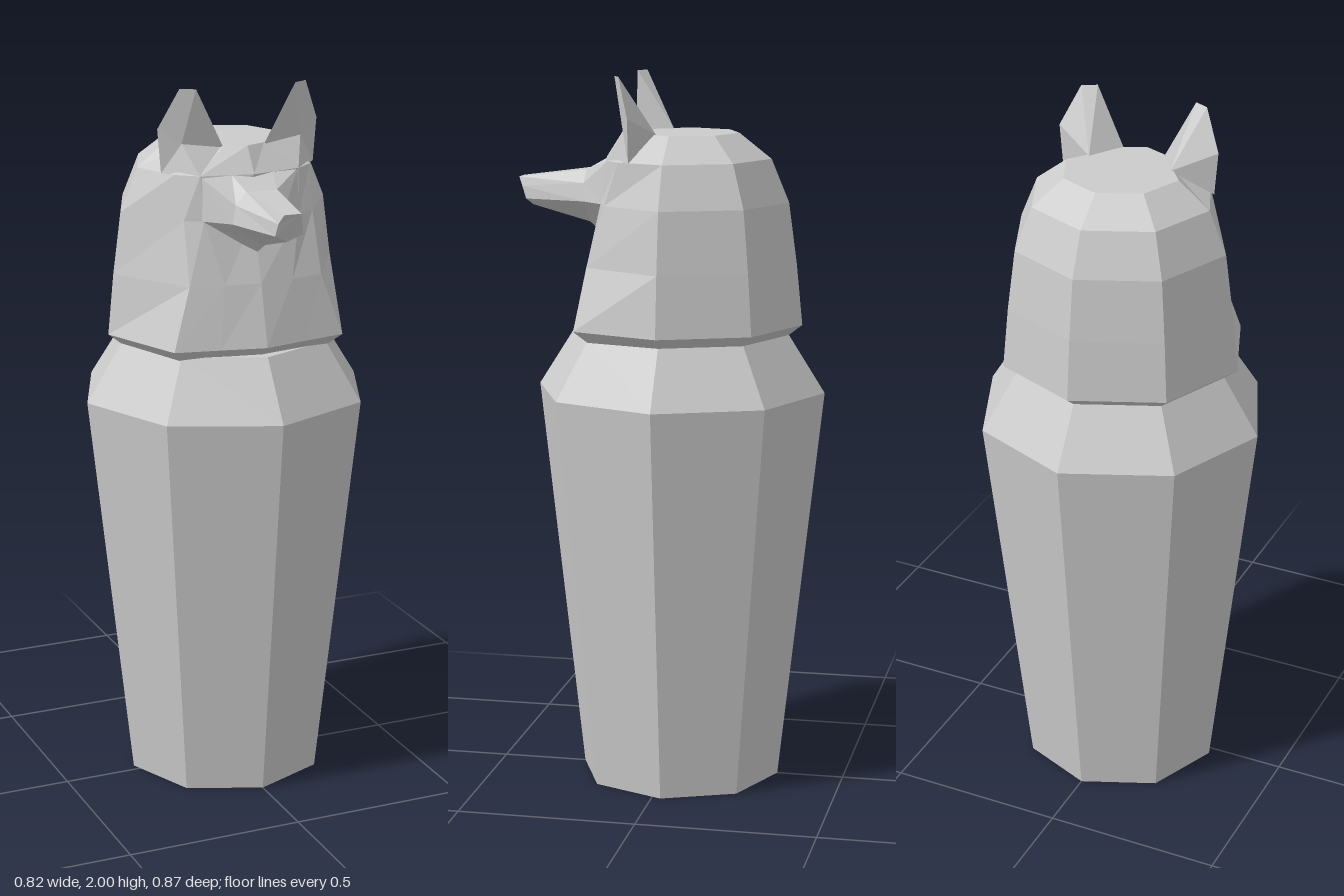
import * as THREE from 'three';

const CZ = -0.025; // axis of the jar in z
const S = Math.SQRT1_2;
const grey = new THREE.MeshStandardMaterial({ color: 0xcccccc, flatShading: true });
const greyDouble = grey.clone();
greyDouble.side = THREE.DoubleSide;

function mesh(name, geometry, material = grey) {
  const m = new THREE.Mesh(geometry, material);
  m.name = name;
  return m;
}

function fromTriangles(triangles) {
  const g = new THREE.BufferGeometry();
  g.setAttribute('position', new THREE.Float32BufferAttribute(triangles.flat(2), 3));
  g.computeVertexNormals();
  return g;
}

// Joins closed rings of points and caps both ends
function loft(rings) {
  const tris = [];
  const n = rings[0].length;
  for (let j = 0; j < rings.length - 1; j++) {
    for (let i = 0; i < n; i++) {
      const k = (i + 1) % n;
      const [a, b, c, d] = [rings[j][i], rings[j][k], rings[j + 1][k], rings[j + 1][i]];
      tris.push([a, b, c], [a, c, d]);
    }
  }
  const first = rings[0], last = rings[rings.length - 1];
  for (let i = 1; i < n - 1; i++) {
    tris.push([first[0], first[i + 1], first[i]], [last[0], last[i], last[i + 1]]);
  }
  return fromTriangles(tris);
}

// Eight-sided back and sides, with a shaped face of centre, cheek and front corner
function hoodRing([y, r, frontZ, cheekX, cheekZ, cornerX, cornerZ]) {
  const half = [[cheekX, y, cheekZ], [cornerX, y, cornerZ], [r, y, CZ], [r * S, y, CZ - r * S]];
  const mirrored = half.map(([x, py, z]) => [-x, py, z]).reverse();
  return [[0, y, frontZ], ...half, [0, y, CZ - r], ...mirrored];
}

// Snout ring: top edge, side, mouth line, chin
function snoutRing(top, side, mouth, chin) {
  const flip = ([x, y, z]) => [-x, y, z];
  return [top, flip(top), flip(side), flip(mouth), chin, mouth, side];
}

function earGeometry(s) {
  const p = (x, y, z) => [s * x, y, z];
  const inner = p(0.06, 1.835, 0.115), back = p(0.12, 1.84, 0.02);
  const outer = p(0.225, 1.77, 0.075), brow = p(0.145, 1.77, 0.155);
  const bulge = p(0.235, 1.89, 0.075), hollow = p(0.175, 1.85, 0.1);
  const tipOut = p(0.185, 2, 0.11), tipIn = p(0.145, 2, 0.13);
  const rim = [outer, bulge, tipOut, tipIn, inner, brow];
  const tris = [];
  rim.forEach((a, i) => {
    const b = rim[(i + 1) % rim.length];
    tris.push([hollow, a, b], [back, b, a]);
  });
  // keep faces outward on the mirrored ear
  return fromTriangles(s > 0 ? tris : tris.map(([a, b, c]) => [a, c, b]));
}

export function createModel() {
  const group = new THREE.Group();
  group.name = 'animalHeadedJar';

  // Tapered octagonal jar with sloped shoulder
  const profile = [[0, 0], [0.285, 0], [0.41, 1.12], [0.305, 1.285], [0, 1.285]];
  const jar = mesh('jarBody', new THREE.LatheGeometry(profile.map(([x, y]) => new THREE.Vector2(x, y)), 8));
  jar.position.z = CZ;
  group.add(jar);

  // Hooded head forming the lid: y, radius, front z, cheek x/z, corner x/z
  group.add(mesh('hood', loft([
    [1.275, 0.3, 0.235, 0.11, 0.215, 0.22, 0.19],
    [1.31, 0.345, 0.277, 0.125, 0.25, 0.25, 0.225],
    [1.48, 0.328, 0.235, 0.1, 0.22, 0.195, 0.2],
    [1.65, 0.305, 0.18, 0.14, 0.172, 0.19, 0.15],
    [1.77, 0.255, 0.185, 0.145, 0.155, 0.2, 0.11],
    [1.84, 0.165, 0.14, 0.06, 0.115, 0.117, 0.04],
  ].map(hoodRing))));

  // Long tapering snout
  group.add(mesh('snout', loft([
    snoutRing([0.06, 1.77, 0.172], [0.145, 1.77, 0.15], [0.15, 1.65, 0.165], [0, 1.555, 0.2]),
    snoutRing([0.045, 1.735, 0.235], [0.075, 1.7, 0.235], [0.085, 1.65, 0.235], [0, 1.585, 0.235]),
    snoutRing([0.025, 1.71, 0.433], [0.035, 1.685, 0.42], [0.04, 1.65, 0.41], [0, 1.63, 0.4]),
  ])));

  // Pointed ears with hollowed fronts
  for (const s of [1, -1]) {
    group.add(mesh(s > 0 ? 'leftEar' : 'rightEar', earGeometry(s), greyDouble));
  }
  return group;
}
